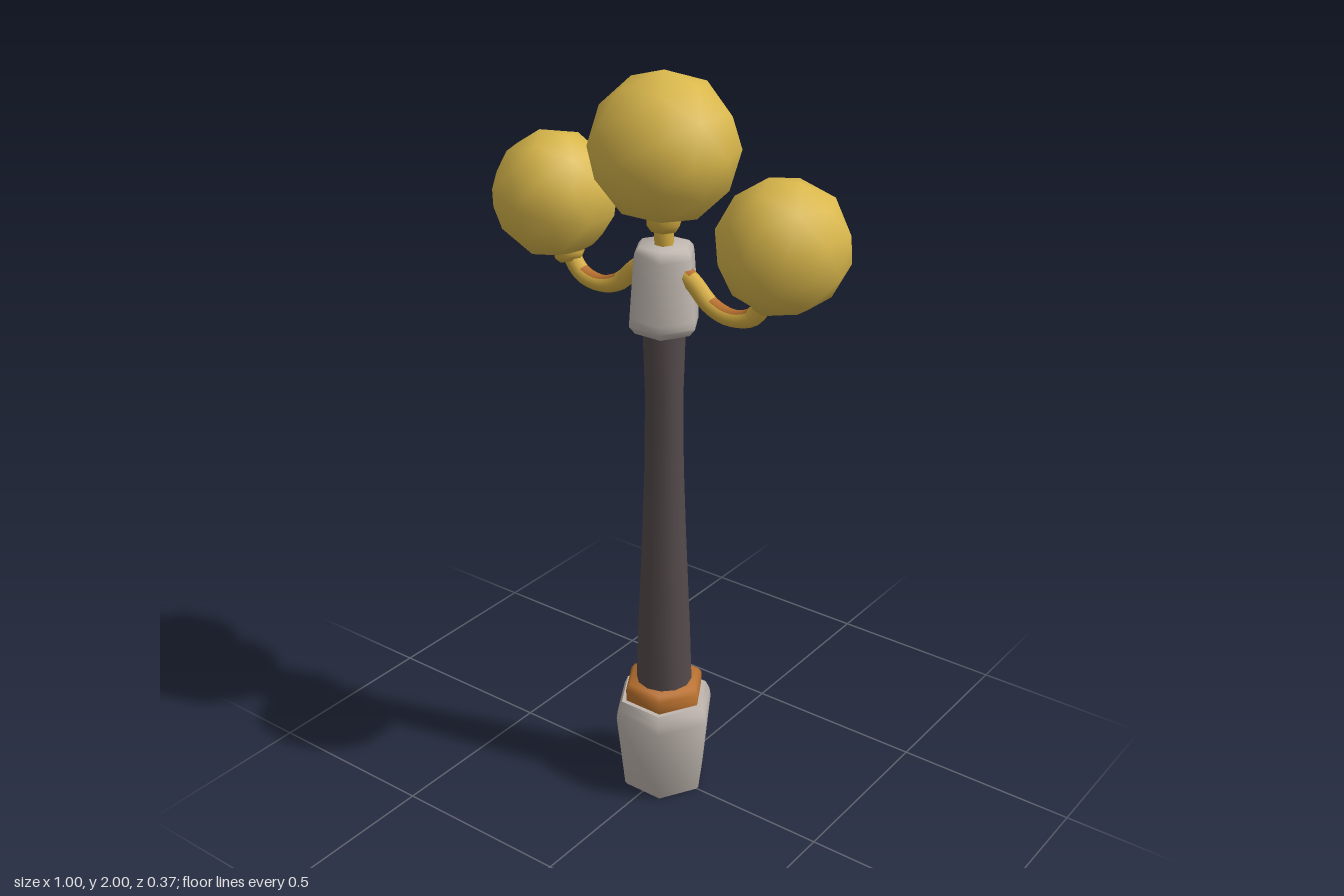
import * as THREE from 'three';
import { toCreasedNormals } from 'three/addons/utils/BufferGeometryUtils.js';

const material = (name, color) => new THREE.MeshStandardMaterial({ name, color });

export function createModel() {
  const stone = material('pale stone', 0xc0b7b0);
  const iron = material('dark iron', 0x544a4b);
  const copper = material('copper', 0xb8702e);
  const gold = material('gold', 0xd6ae42);
  const glow = material('yellow glass', 0xdab84c);

  const model = new THREE.Group();
  model.name = 'streetLamp';

  const add = (parent, name, geometry, mat) => {
    const mesh = new THREE.Mesh(geometry, mat);
    mesh.name = name;
    parent.add(mesh);
    return mesh;
  };

  // Turned solid from [radius, height] pairs, with a corner on the x axis
  const turned = (profile, sides) => {
    const points = profile.map(([r, y]) => new THREE.Vector2(r, y));
    return toCreasedNormals(new THREE.LatheGeometry(points, sides, Math.PI / 2), 1.15);
  };

  // Hexagonal foot and copper ring
  add(model, 'base', turned([
    [0, 0], [0.114, 0], [0.119, 0.01], [0.142, 0.23], [0.138, 0.255], [0.126, 0.28], [0, 0.28],
  ], 6), stone);
  add(model, 'baseRing', turned([
    [0, 0.27], [0.112, 0.275], [0.113, 0.315], [0.102, 0.33], [0, 0.33],
  ], 6), copper);

  // Tapered post
  add(model, 'post', turned([
    [0.076, 0.32], [0.07, 0.5], [0.058, 0.78], [0.051, 0.98], [0.049, 1.18], [0.055, 1.38],
  ], 12), iron);

  // Hexagonal head holding the arms
  add(model, 'head', turned([
    [0, 1.355], [0.078, 1.355], [0.094, 1.375], [0.093, 1.395],
    [0.081, 1.55], [0.078, 1.565], [0.066, 1.578], [0, 1.578],
  ], 6), stone);

  // Centre lamp
  add(model, 'centreStem', turned([[0.026, 1.56], [0.026, 1.63]], 6), gold);
  add(model, 'centreCollar', turned([
    [0, 1.612], [0.034, 1.612], [0.046, 1.63], [0.046, 1.655], [0, 1.655],
  ], 6), gold);
  add(model, 'centreGlobe', new THREE.IcosahedronGeometry(0.185, 1), glow).position.y = 1.815;

  // Side lamps, one on each side
  for (const side of [1, -1]) {
    const lamp = new THREE.Group();
    lamp.name = side > 0 ? 'leftLamp' : 'rightLamp';
    model.add(lamp);

    // Curved arm with a copper strip along its top
    const path = new THREE.CatmullRomCurve3([
      [0.045, 1.525], [0.09, 1.495], [0.14, 1.45], [0.2, 1.432], [0.26, 1.447], [0.3, 1.495],
    ].map(([x, y]) => new THREE.Vector3(side * x, y, 0)));
    const arm = new THREE.TubeGeometry(path, 16, 0.023, 8);
    const normals = arm.attributes.normal;
    for (let i = 0; i < arm.index.count; i += 6) {
      let up = 0;
      for (let k = 0; k < 6; k++) up += normals.getY(arm.index.getX(i + k)) / 6;
      arm.addGroup(i, 6, up > 0.7 ? 1 : 0);
    }
    add(lamp, 'arm', arm, [gold, copper]);

    // Collar and globe lean outward together
    const globe = new THREE.Group();
    globe.name = 'tiltedGlobe';
    globe.position.set(side * 0.342, 1.64, 0);
    globe.rotation.z = -side * 0.28;
    lamp.add(globe);
    add(globe, 'collar', turned([
      [0, -0.172], [0.03, -0.172], [0.041, -0.158], [0.041, -0.135], [0, -0.135],
    ], 6), gold);
    add(globe, 'globe', new THREE.IcosahedronGeometry(0.163, 1), glow);
  }
  return model;
}
